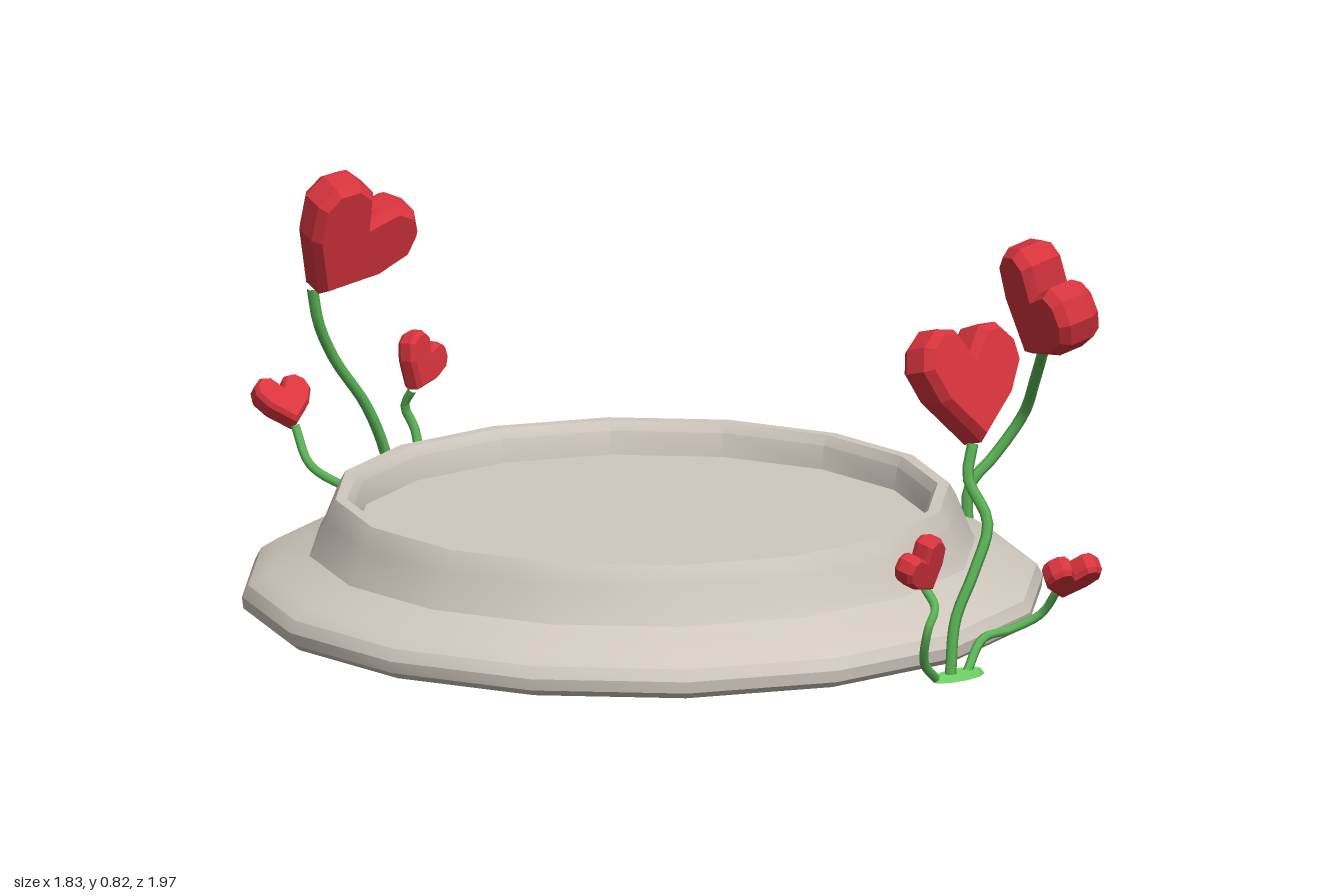
import * as THREE from 'three';
import { toCreasedNormals } from 'three/addons/utils/BufferGeometryUtils.js';

const V = (p) => new THREE.Vector3(...p);

export function createModel() {
  const root = new THREE.Group();
  const mat = (name, color, flatShading = false) => {
    const m = new THREE.MeshStandardMaterial({ color, flatShading });
    m.name = name;
    return m;
  };
  const stone = mat('stone', 0xd0c8be);
  const red = mat('heartRed', 0xd8343d, true);
  const green = mat('stemGreen', 0x5cb757);
  const lightGreen = mat('leafGreen', 0x72d868);

  const add = (parent, name, geometry, material) => {
    const mesh = new THREE.Mesh(geometry, material);
    mesh.name = name;
    parent.add(mesh);
    return mesh;
  };

  // Sixteen-sided dish with a rounded foot and a raised rim
  const profile = [
    [0, 0.01], [0.825, 0.01], [0.845, 0.025], [0.848, 0.05], [0.835, 0.075],
    [0.80, 0.098], [0.74, 0.118], [0.705, 0.135], [0.695, 0.153], [0.672, 0.21],
    [0.665, 0.228], [0.65, 0.255], [0.625, 0.255], [0.612, 0.235], [0.605, 0.185], [0, 0.185],
  ].map(([r, y]) => new THREE.Vector2(r, y));
  const dish = add(root, 'dish', toCreasedNormals(new THREE.LatheGeometry(profile, 16), 0.5), stone);
  dish.position.set(-0.067, 0, 0.015);

  // Faceted heart, one unit wide, with its tip at the origin
  const half = [[0.36, 0.34], [0.5, 0.6], [0.46, 0.79], [0.31, 0.92], [0.13, 0.9]];
  const outline = [[0, 0], ...half, [0, 0.7], ...half.map(([x, y]) => [-x, y]).reverse()];
  const heartGeo = new THREE.ExtrudeGeometry(
    new THREE.Shape(outline.map(([x, y]) => new THREE.Vector2(x, y))),
    { depth: 0.2, bevelEnabled: true, bevelThickness: 0.08, bevelSize: 0.05, bevelOffset: -0.05, bevelSegments: 1 },
  );
  heartGeo.translate(0, 0, -0.1);

  // A flower is a curved stem with a heart at its end; up and face aim the heart
  const addFlower = (parent, name, { path, size, up, face }) => {
    const flower = new THREE.Group();
    flower.name = name;
    parent.add(flower);
    const curve = new THREE.CatmullRomCurve3(path.map(V));
    const radius = size > 0.2 ? 0.012 : 0.01;
    add(flower, 'stem', new THREE.TubeGeometry(curve, 20, radius, 6), green);
    const heart = add(flower, 'heart', heartGeo, red);
    const y = V(up).normalize();
    const x = y.clone().cross(V(face)).normalize();
    const z = x.clone().cross(y);
    heart.quaternion.setFromRotationMatrix(new THREE.Matrix4().makeBasis(x, y, z));
    heart.position.copy(V(path[path.length - 1]));
    heart.scale.setScalar(size);
  };

  // Flat oval leaf where a cluster's stems meet
  const addCluster = (name, x, z, flowers) => {
    const cluster = new THREE.Group();
    cluster.name = name;
    root.add(cluster);
    const leaf = add(cluster, 'baseLeaf', new THREE.CylinderGeometry(0.85, 1, 1, 10), lightGreen);
    leaf.scale.set(0.07, 0.014, 0.028);
    leaf.position.set(x, 0.009, z);
    leaf.rotation.y = 0.25;
    flowers.forEach((f, i) => addFlower(cluster, ['tallFlower', 'innerFlower', 'outerFlower'][i], f));
  };

  addCluster('frontCluster', 0.22, 0.87, [
    { path: [[0.195, 0.01, 0.88], [0.21, 0.13, 0.875], [0.255, 0.23, 0.875], [0.293, 0.33, 0.865], [0.268, 0.42, 0.825], [0.285, 0.49, 0.815]],
      size: 0.27, up: [0, 0.95, -0.28], face: [0.25, 0.27, 0.95] },
    { path: [[0.16, 0.01, 0.88], [0.11, 0.06, 0.92], [0.10, 0.14, 0.955], [0.125, 0.18, 0.94], [0.125, 0.215, 0.895]],
      size: 0.13, up: [-0.35, 0.8, 0.4], face: [0.45, -0.3, 0.85] },
    { path: [[0.24, 0.012, 0.87], [0.30, 0.068, 0.83], [0.38, 0.075, 0.81], [0.44, 0.105, 0.83], [0.455, 0.165, 0.875]],
      size: 0.13, up: [0, 0.65, 0.75], face: [0, -0.75, 0.65] },
  ]);

  addCluster('backCluster', -0.18, -0.88, [
    { path: [[-0.17, 0.01, -0.88], [-0.19, 0.14, -0.87], [-0.25, 0.27, -0.85], [-0.34, 0.39, -0.83], [-0.39, 0.48, -0.81], [-0.41, 0.56, -0.80]],
      size: 0.275, up: [0.5, 0.8, 0.22], face: [0, 0.28, -0.95] },
    { path: [[-0.15, 0.01, -0.88], [-0.10, 0.08, -0.90], [-0.085, 0.18, -0.94], [-0.105, 0.235, -0.95], [-0.10, 0.275, -0.925]],
      size: 0.13, up: [0.45, 0.8, -0.3], face: [-0.45, -0.2, -0.85] },
    { path: [[-0.20, 0.012, -0.88], [-0.25, 0.09, -0.84], [-0.34, 0.125, -0.81], [-0.40, 0.17, -0.83], [-0.41, 0.245, -0.875]],
      size: 0.13, up: [0, 0.65, -0.75], face: [0, -0.75, -0.65] },
  ]);

  // Single flower on the left flank
  addFlower(root, 'sideFlower', {
    path: [[0.80, 0.02, -0.135], [0.802, 0.13, -0.135], [0.855, 0.19, -0.125], [0.905, 0.28, -0.09], [0.885, 0.38, 0], [0.845, 0.475, 0.11]],
    size: 0.27, up: [-0.22, 0.83, 0.54], face: [0.97, 0.25, 0],
  });
  return root;
}
